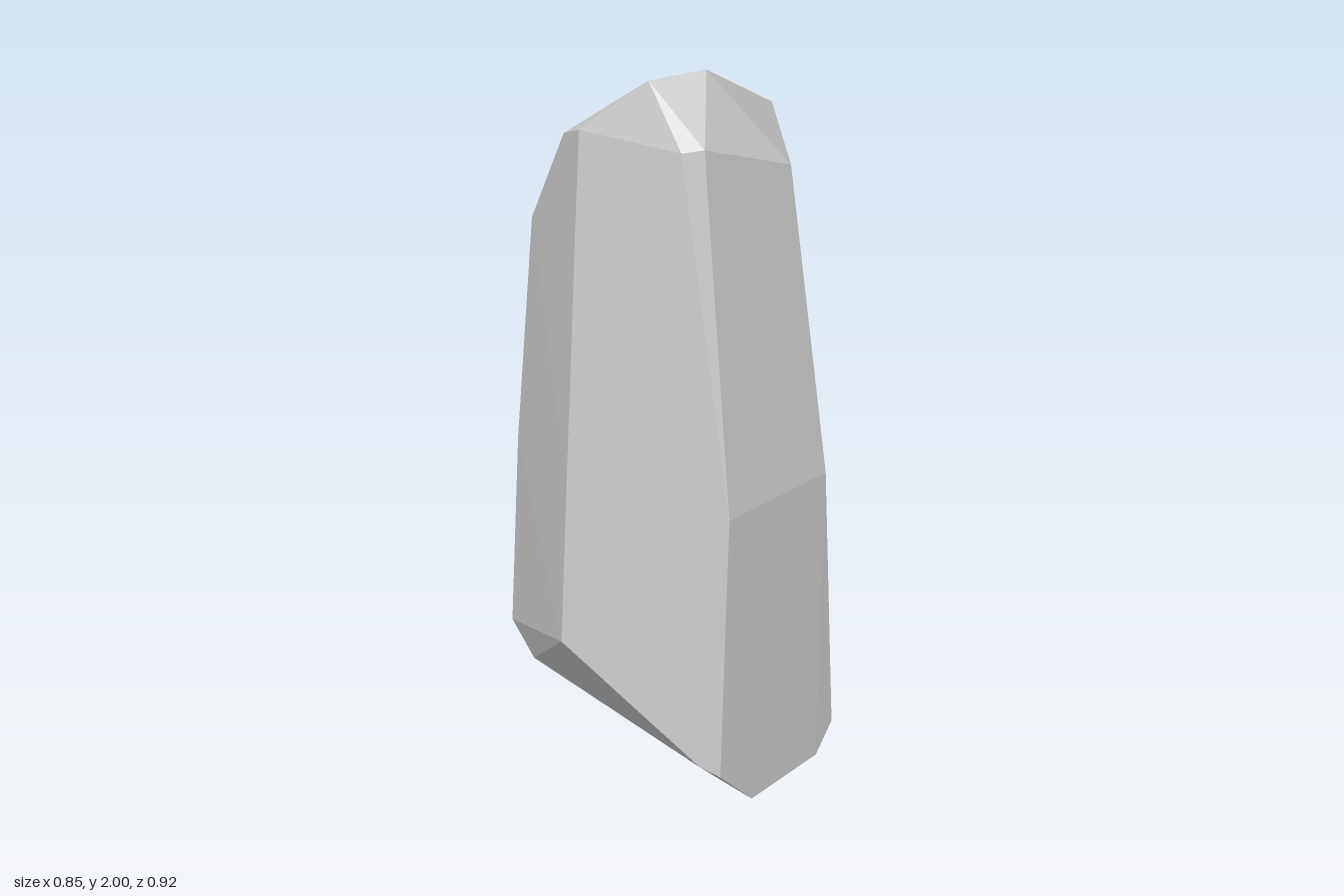
import * as THREE from 'three';
import { ConvexGeometry } from 'three/addons/geometries/ConvexGeometry.js';

// Corner rings of a faceted standing stone, each corner [x, y, z]
const foot = [
  [-0.11, 0, 0.457], [0.17, 0, 0.457], [0.17, 0, -0.18], [0.12, 0, -0.31], [-0.08, 0, -0.25],
  [-0.08, 0.17, -0.43], [-0.26, 0.18, -0.3],
];
const base = [
  [-0.17, 0.25, -0.455], [0.2, 0.165, -0.46], [0.33, 0.165, -0.34], [0.42, 0.165, 0.01],
  [0.33, 0.165, 0.335], [0.245, 0.08, 0.45], [0.21, 0.2, 0.447], [-0.235, 0.14, 0.45],
  [-0.27, 0.17, 0.405], [-0.425, 0.47, 0.025], [-0.265, 0.28, -0.39],
];
const waist = [
  [-0.16, 0.9, -0.4], [0.18, 0.92, -0.39], [0.305, 0.9, -0.275], [0.392, 0.9, -0.01],
  [0.302, 0.9, 0.25], [0.18, 0.92, 0.432], [-0.2, 0.92, 0.432], [-0.388, 0.95, 0.025],
  [-0.243, 0.9, -0.35],
];
const shoulder = [
  [-0.16, 1.55, -0.318], [0.14, 1.42, -0.295], [0.26, 1.41, -0.19], [0.36, 1.515, -0.025],
  [0.26, 1.86, 0.13], [0.145, 1.75, 0.3], [-0.165, 1.845, 0.297], [-0.21, 1.84, 0.265],
  [-0.285, 1.86, -0.01], [-0.21, 1.56, -0.29],
];
const crown = [
  [-0.05, 2, 0.19], [-0.2, 1.99, 0.145], [-0.255, 1.83, -0.1], [-0.03, 1.715, -0.3],
  [0.13, 1.65, -0.302], [0.26, 1.61, -0.2],
];

export function createModel() {
  const group = new THREE.Group();
  group.name = 'standingStone';
  const material = new THREE.MeshStandardMaterial({ color: 0xcccccc, flatShading: true });

  const addStone = (name, ...rings) => {
    const points = rings.flat().map((p) => new THREE.Vector3(...p));
    const mesh = new THREE.Mesh(new ConvexGeometry(points), material);
    mesh.name = name;
    group.add(mesh);
  };

  // Tapering body, and a cap whose rear brow stands slightly proud of it
  addStone('stoneBody', foot, base, waist, shoulder);
  addStone('stoneCap', shoulder, crown);
  return group;
}
